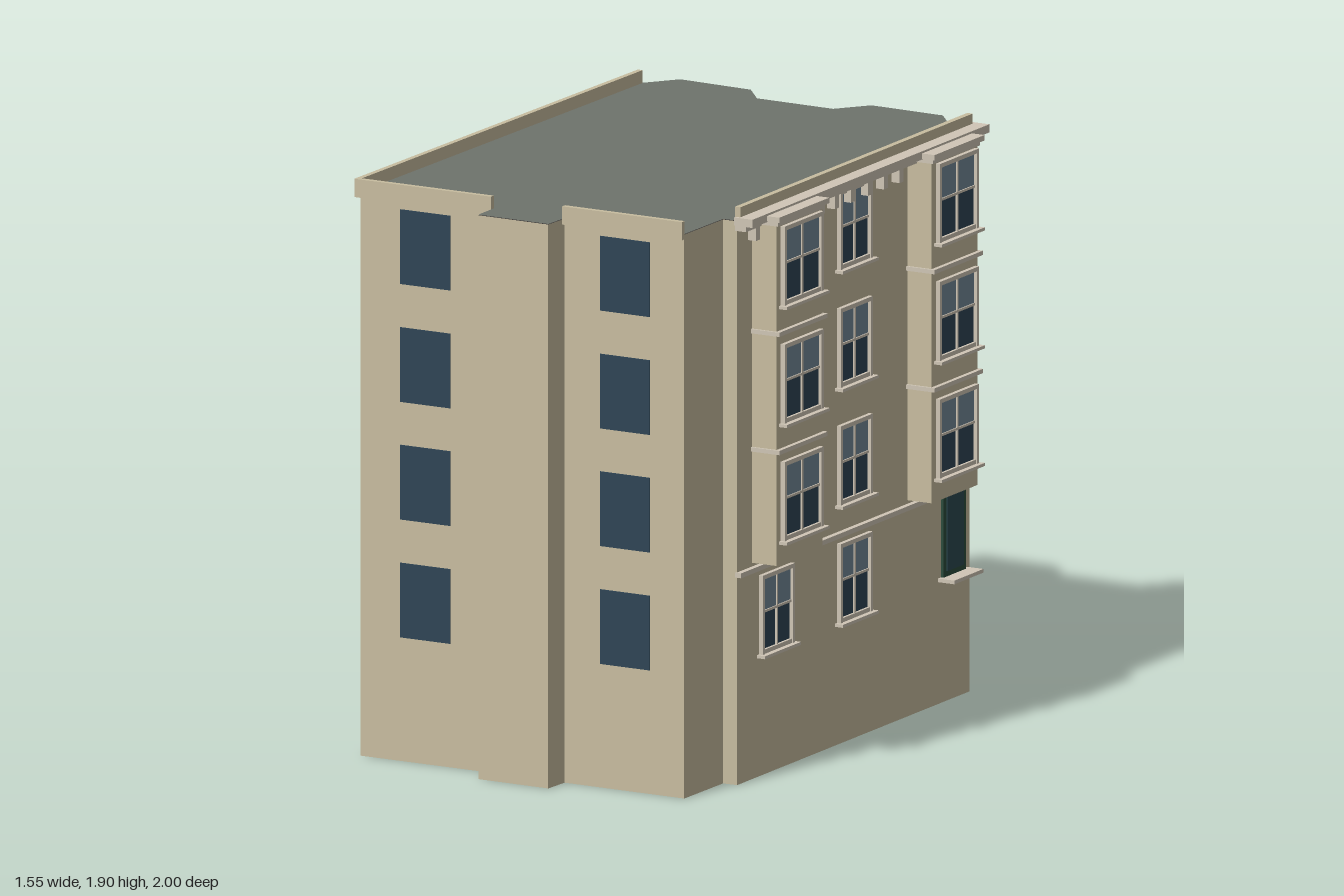
import * as THREE from 'three';

const mat = (color) => {
  const m = new THREE.MeshStandardMaterial();
  m.color.set(color);
  return m;
};
const WALL = mat(0xc8bda0), TRIM = mat(0xd0c6b6), ROOF = mat(0x6e736c), BASE = mat(0x3a3836);
const DARK = mat(0x2f4556), LIGHT = mat(0x748a98), DOOR = mat(0x2c4c3c), DOOR_GLASS = mat(0x2c4850);

const ROOF_Y = 1.853;
const ROWS = [0.4, 0.787, 1.173, 1.56]; // window sill height on each floor

// Footprint corners (x, z)
const PLAN = [
  [-0.525, 0.98], [-0.045, 0.90], [-0.03, 0.995], [0.225, 0.955], [0.215, 0.86], [0.65, 0.79],
  [0.615, 0.55], [0.665, 0.54], [0.43, -0.93], [0.355, -0.92], [0.265, -1.0], [0, -0.965],
  [-0.065, -0.85], [-0.345, -0.81], [-0.435, -0.89], [-0.70, -0.86], [-0.765, -0.745],
];

// Box given by its extents in the wall's own frame: x along, y up, z outward
function box(parent, name, material, x0, x1, y0, y1, z0, z1) {
  const m = new THREE.Mesh(new THREE.BoxGeometry(x1 - x0, y1 - y0, z1 - z0), material);
  m.position.set((x0 + x1) / 2, (y0 + y1) / 2, (z0 + z1) / 2);
  m.name = name;
  parent.add(m);
  return m;
}

// Group whose x axis runs along the wall from a to b, z pointing outward
function wallFrame(parent, name, a, b) {
  const g = new THREE.Group();
  g.name = name;
  g.position.set(a[0], 0, a[1]);
  g.rotation.y = Math.atan2(-(b[1] - a[1]), b[0] - a[0]);
  g.userData.length = Math.hypot(b[0] - a[0], b[1] - a[1]);
  parent.add(g);
  return g;
}

// Sash window: two panes over two, raised frame and sill
function sashWindow(parent, cx, y0, w, z) {
  const g = new THREE.Group();
  g.name = 'sashWindow';
  g.position.set(cx, y0, z);
  parent.add(g);
  const h = 0.26, f = 0.014, hw = w / 2, mid = 0.138;
  box(g, 'lowerGlass', DARK, -hw + f, hw - f, f, mid, -0.005, 0.003);
  box(g, 'upperGlass', LIGHT, -hw + f, hw - f, mid, h - f, -0.005, 0.005);
  for (const s of [-1, 1]) {
    const x = s * (hw - f / 2);
    box(g, 'frameSide', TRIM, x - f / 2, x + f / 2, 0, h, -0.005, 0.015);
  }
  box(g, 'frameTop', TRIM, -hw, hw, h - f, h, -0.005, 0.015);
  box(g, 'frameBottom', TRIM, -hw + f, hw - f, 0, f, -0.005, 0.012);
  box(g, 'meetingRail', TRIM, -hw + f, hw - f, mid - 0.004, mid + 0.004, -0.005, 0.009);
  box(g, 'glazingBar', TRIM, -0.004, 0.004, f, h - f, -0.005, 0.009);
  box(g, 'sill', TRIM, -hw - 0.012, hw + 0.012, -0.01, 0, -0.005, 0.03);
}

// Column of plain panes on all four floors
function paneColumn(parent, cx, w) {
  for (const y of ROWS) box(parent, 'plainWindow', DARK, cx - w / 2, cx + w / 2, y + 0.006, y + 0.251, -0.01, 0.003);
}

function parapet(parent, x0, x1) {
  box(parent, 'parapet', WALL, x0, x1, 1.835, 1.895, -0.003, 0.015);
}

export function createModel() {
  const model = new THREE.Group();
  model.name = 'apartmentBuilding';

  // Main block and roof
  const shape = new THREE.Shape(PLAN.map(([x, z]) => new THREE.Vector2(x, -z)));
  const block = new THREE.Mesh(
    new THREE.ExtrudeGeometry(shape, { depth: ROOF_Y - 0.002, bevelEnabled: false }), [BASE, WALL]);
  block.rotation.x = -Math.PI / 2;
  block.name = 'walls';
  const roof = new THREE.Mesh(new THREE.ShapeGeometry(shape), ROOF);
  roof.rotation.x = -Math.PI / 2;
  roof.position.y = ROOF_Y;
  roof.name = 'roof';
  model.add(block, roof);

  // Left side wall: four columns of plain windows
  const left = wallFrame(model, 'leftWall', PLAN[16], PLAN[0]);
  const leftLen = left.userData.length;
  for (const t of [0.1, 0.36, 0.615, 0.868]) paneColumn(left, t * leftLen, 0.176);
  parapet(left, 0, leftLen + 0.012);

  // Front wall: one column either side of the projecting pier
  const frontA = wallFrame(model, 'frontWallLeft', PLAN[0], PLAN[1]);
  paneColumn(frontA, 0.238, 0.183);
  parapet(frontA, -0.012, frontA.userData.length);
  const frontB = wallFrame(model, 'frontWallRight', PLAN[4], PLAN[5]);
  paneColumn(frontB, 0.223, 0.183);
  parapet(frontB, 0, frontB.userData.length);

  // Decorated right facade
  const facade = wallFrame(model, 'rightFacade', PLAN[7], PLAN[8]);
  const len = facade.userData.length;
  box(facade, 'facadeParapet', WALL, 0, len, 1.85, 1.898, -0.008, 0.012);
  box(facade, 'corniceLower', TRIM, -0.005, len + 0.005, 1.82, 1.838, -0.005, 0.035);
  box(facade, 'corniceUpper', TRIM, -0.01, len + 0.02, 1.838, 1.865, -0.005, 0.062);
  box(facade, 'stringCourse', TRIM, -0.005, len, 0.682, 0.698, -0.005, 0.018);

  // Cornice brackets
  for (const x of [0.082, 0.497, 0.588, 0.69, 0.8, 0.902, 1.003, 1.428])
    box(facade, 'bracket', TRIM, x - 0.013, x + 0.013, 1.775, 1.82, -0.005, 0.03);

  // Flat windows: centre column, plus one below the first bay
  for (const y of ROWS) sashWindow(facade, 0.742, y, 0.206, 0);
  sashWindow(facade, 0.243, ROWS[0], 0.206, 0);

  // Projecting bays
  for (const cx of [0.243, 1.238]) {
    const bay = new THREE.Group();
    bay.name = 'bay';
    bay.position.x = cx;
    facade.add(bay);
    box(bay, 'bayBody', WALL, -0.147, 0.147, 0.71, 1.84, -0.01, 0.09);
    for (const y of [1.077, 1.465]) box(bay, 'bayString', TRIM, -0.155, 0.155, y, y + 0.014, -0.005, 0.105);
    box(bay, 'bayCorniceLower', TRIM, -0.15, 0.15, 1.825, 1.84, -0.005, 0.097);
    box(bay, 'bayCorniceUpper', TRIM, -0.16, 0.16, 1.84, 1.858, -0.005, 0.108);
    for (const y of ROWS.slice(1)) sashWindow(bay, 0.005, y, 0.25, 0.09);
  }

  // Raised door with landing ledge
  box(facade, 'door', DOOR, 1.307, 1.45, 0.41, 0.71, -0.01, 0.01);
  box(facade, 'doorGlass', DOOR_GLASS, 1.325, 1.432, 0.43, 0.68, 0, 0.013);
  box(facade, 'doorLedge', TRIM, 1.288, 1.475, 0.4, 0.412, -0.01, 0.06);

  return model;
}
